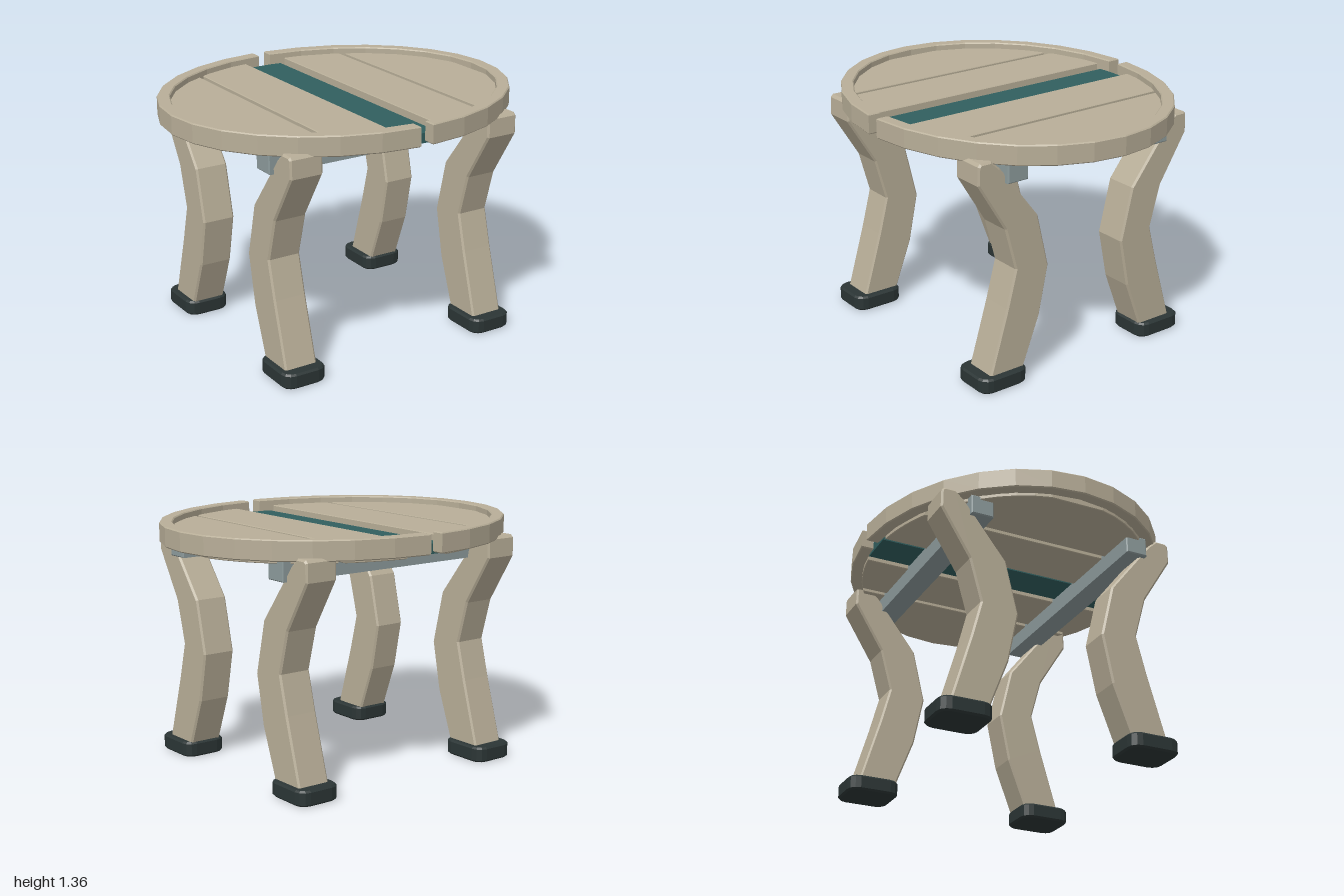
import * as THREE from 'three';

const paint = (name, color) => {
  const m = new THREE.MeshStandardMaterial({ color });
  m.name = name;
  return m;
};

// Closed outline pushed to a given depth, with a small bevel kept inside the outline
function slab(points, depth, bevel) {
  const shape = new THREE.Shape(points.map(([x, y]) => new THREE.Vector2(x, y)));
  const geo = new THREE.ExtrudeGeometry(shape, {
    depth: depth - 2 * bevel, bevelEnabled: bevel > 0, bevelThickness: bevel,
    bevelSize: bevel, bevelOffset: -bevel, bevelSegments: 1,
  });
  return geo.translate(0, 0, bevel);
}

// Same slab lying flat, from height y0 to y1
const flatSlab = (points, y0, y1, bevel) =>
  slab(points, y1 - y0, bevel).rotateX(-Math.PI / 2).translate(0, y0, 0);

// Rectangle with rounded corners
function roundedRect(w, d, r, steps = 3) {
  const pts = [];
  for (let c = 0; c < 4; c++) {
    const sx = c === 0 || c === 3 ? 1 : -1, sy = c < 2 ? 1 : -1;
    for (let i = 0; i <= steps; i++) {
      const a = (c + i / steps) * Math.PI / 2;
      pts.push([sx * (w / 2 - r) + r * Math.cos(a), sy * (d / 2 - r) + r * Math.sin(a)]);
    }
  }
  return pts;
}

export function createModel() {
  const wood = paint('weathered wood', 0xb8ae98);
  const teal = paint('teal', 0x315f5f);
  const steel = paint('grey blue', 0x8d9b9c);
  const rubber = paint('dark rubber', 0x2b3535);
  const table = new THREE.Group();
  table.name = 'table';
  const add = (name, geo, mat, parent = table) => {
    const mesh = new THREE.Mesh(geo, mat);
    mesh.name = name;
    parent.add(mesh);
    return mesh;
  };

  // Two half-oval rims with a narrow gap between them
  const rimArc = (rx, rz, side) => {
    const start = Math.acos(0.037 / rx), pts = [];
    for (let i = 0; i <= 14; i++) {
      const a = start * (i / 7 - 1);
      pts.push([side * rx * Math.cos(a), side * rz * Math.sin(a)]);
    }
    return pts;
  };
  for (const side of [1, -1]) {
    const outline = [...rimArc(1, 0.85, side), ...rimArc(0.93, 0.78, side).reverse()];
    add(side > 0 ? 'leftRim' : 'rightRim', flatSlab(outline, 1.25, 1.36, 0.006), wood);
  }

  // Planks trimmed to the oval
  const plank = (x0, x1) => {
    const front = [];
    const a0 = Math.acos(x0 / 0.935), a1 = Math.acos(x1 / 0.935);
    for (let i = 0; i <= 7; i++) {
      const a = a0 + (a1 - a0) * i / 7;
      front.push([0.935 * Math.cos(a), 0.782 * Math.sin(a)]);
    }
    const back = front.map(([x, z]) => [x, -z]).reverse();
    return flatSlab([...front, ...back], 1.23, 1.325, 0.004);
  };
  for (const [x0, x1] of [[-0.917, -0.49], [-0.46, -0.13], [0.13, 0.46], [0.49, 0.917]])
    add('plank', plank(x0, x1), wood);

  // Coloured strip set lower in the middle
  add('centreStrip', new THREE.BoxGeometry(0.21, 0.055, 1.555).translate(0, 1.268, 0), teal);

  // Cross bars under the planks
  for (const z of [0.467, -0.467]) {
    const bar = slab([[-0.063, 1.14], [0.063, 1.14], [0.063, 1.25], [-0.063, 1.25]], 1.47, 0.006);
    add('crossBar', bar.rotateY(-Math.PI / 2).translate(0.735, 0, z), steel);
  }

  // Bowed legs on dark feet
  const legProfile = [
    [0.63, 0.05], [0.515, 0.44], [0.46, 0.65], [0.525, 0.885], [0.692, 1.155], [0.69, 1.255],
    [0.675, 1.27], [0.61, 1.27], [0.555, 1.22], [0.317, 0.915], [0.247, 0.62], [0.303, 0.345], [0.415, 0.05],
  ].reverse();
  const legGeo = slab(legProfile, 0.19, 0.01).rotateY(-Math.PI / 2).translate(0.095, 0, 0);
  const footGeo = flatSlab(roundedRect(0.255, 0.295, 0.06), 0, 0.085, 0.01).translate(0, 0, 0.538);
  for (const sz of [1, -1]) for (const sx of [1, -1]) {
    const leg = new THREE.Group();
    leg.name = (sz > 0 ? 'front' : 'back') + (sx > 0 ? 'Left' : 'Right') + 'Leg';
    add('legPost', legGeo, wood, leg);
    add('foot', footGeo, rubber, leg);
    leg.position.x = sx * 0.612;
    if (sz < 0) leg.rotation.y = Math.PI;
    table.add(leg);
  }
  return table;
}
